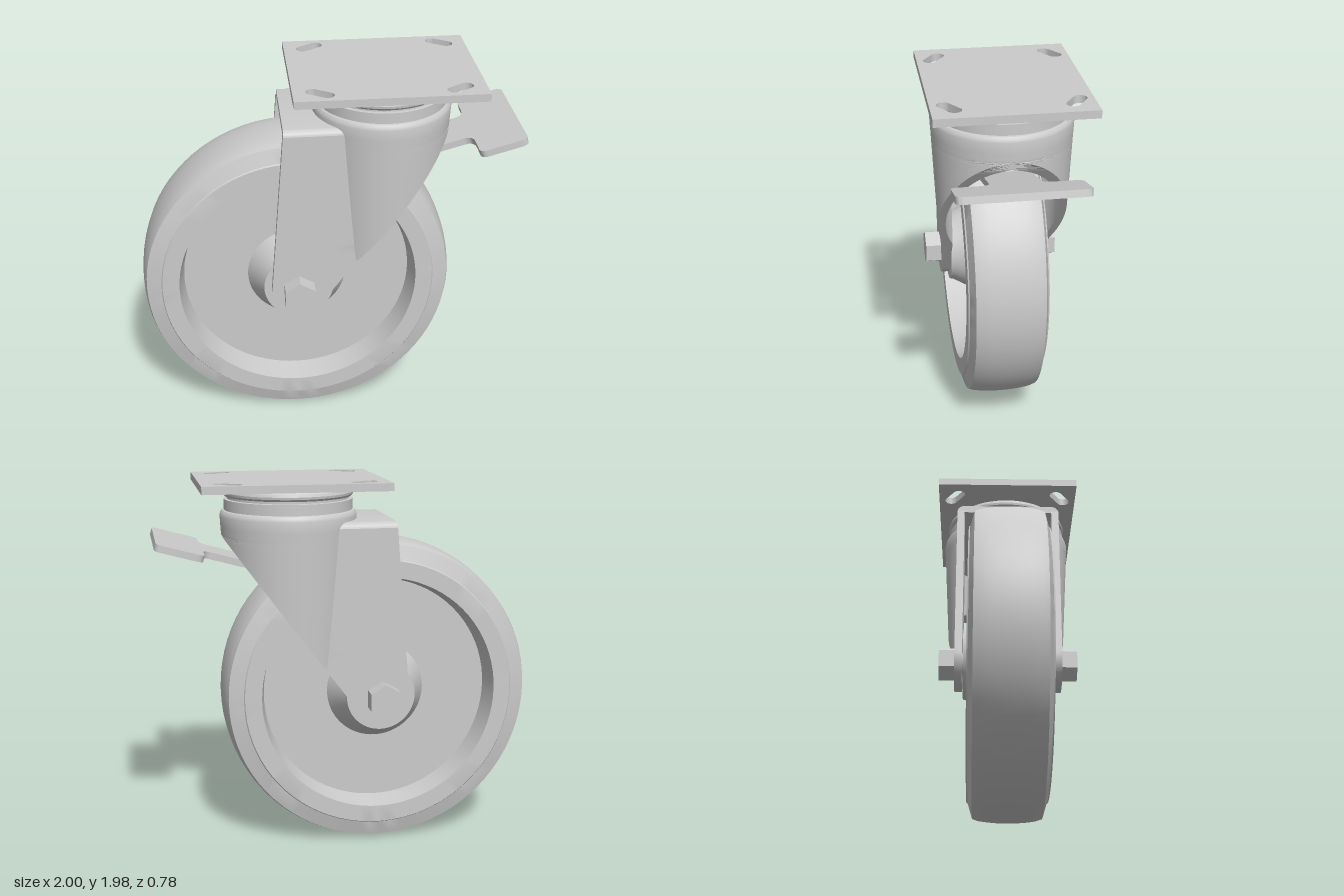
import * as THREE from 'three';
import { toCreasedNormals } from 'three/addons/utils/BufferGeometryUtils.js';

const material = new THREE.MeshStandardMaterial({ color: 0xcccccc });
const AXLE = { x: -0.17, y: 0.835 }; // wheel centre
const CX = 0.285; // swivel axis
const LEG_R = 0.145, LEG_Z = 0.28, WALL = 0.04;

function add(parent, name, geometry, x = 0, y = 0, z = 0) {
  const mesh = new THREE.Mesh(geometry, material);
  mesh.name = name;
  mesh.position.set(x, y, z);
  parent.add(mesh);
  return mesh;
}

function lathe(points, segments = 64) {
  const profile = points.map(([r, y]) => new THREE.Vector2(r, y));
  return toCreasedNormals(new THREE.LatheGeometry(profile, segments), 0.45);
}

// Fork outline in the side view: rear edge, sloping front edge, cone radius
const bulge = (y) => Math.sqrt(Math.max(0, LEG_R ** 2 - (y - AXLE.y) ** 2));
const rearX = (y) => (y < AXLE.y ? AXLE.x - bulge(y) : -0.315 + (y - AXLE.y) * 0.08);
const frontX = (y) => (y < 0.749 ? AXLE.x + bulge(y) : -0.053 + (y - 0.749) / 1.35);
const coneR = (y) => Math.max(0.31, 0.33 + (y - 1.2) * 0.05);

// One wall line at height y: flat leg, then an arc around the swivel axis
function wallLine(y, inset) {
  const r = coneR(y) - inset, z = LEG_Z - inset, line = [];
  const a0 = Math.asin(z / r);
  const aCut = Math.acos(THREE.MathUtils.clamp((CX - frontX(y)) / r, -1, 1));
  const a1 = Math.max(a0, aCut);
  const flatEnd = Math.min(CX - r * Math.cos(a0), frontX(y));
  for (let i = 0; i <= 4; i++) line.push([THREE.MathUtils.lerp(rearX(y), flatEnd, i / 4), z]);
  for (let i = 1; i <= 28; i++) {
    const a = THREE.MathUtils.lerp(a0, a1, i / 28);
    line.push(a1 > a0 ? [CX - r * Math.cos(a), r * Math.sin(a)] : [flatEnd, z]);
  }
  return line;
}

// Half of the fork, lofted upward from closed wall sections
function forkHalf(side) {
  const heights = [];
  for (let i = 0; i <= 14; i++) heights.push(AXLE.y - LEG_R * Math.cos((i / 14) * Math.PI / 2));
  for (let i = 1; i <= 28; i++) heights.push(AXLE.y + (1.5 - AXLE.y) * i / 28);
  for (let i = 1; i <= 24; i++) heights.push(1.5 + 0.24 * i / 24);
  const positions = [], index = [];
  let n = 0;
  for (const y of heights) {
    const loop = [...wallLine(y, 0), ...wallLine(y, WALL).reverse()];
    n = loop.length;
    for (const [x, z] of loop) positions.push(x, y, z * side);
  }
  for (let i = 0; i < heights.length - 1; i++) {
    for (let j = 0; j < n; j++) {
      const k = (j + 1) % n;
      const a = i * n + j, b = i * n + k, c = b + n, d = a + n;
      if (side > 0) index.push(a, b, c, a, c, d);
      else index.push(a, c, b, a, d, c);
    }
  }
  const g = new THREE.BufferGeometry();
  g.setAttribute('position', new THREE.Float32BufferAttribute(positions, 3));
  g.setIndex(index);
  return toCreasedNormals(g, 0.5);
}

function forkTop() {
  const w = LEG_Z, r = 0.038, s = new THREE.Shape();
  s.moveTo(-w, 0);
  s.lineTo(w, 0);
  s.absarc(w - r, WALL - r, r, 0, Math.PI / 2, false);
  s.absarc(-w + r, WALL - r, r, Math.PI / 2, Math.PI, false);
  const g = new THREE.ExtrudeGeometry(s, { depth: 0.34, bevelEnabled: false, curveSegments: 6 });
  return toCreasedNormals(g.rotateY(Math.PI / 2), 0.5);
}

function mountingPlate() {
  const s = new THREE.Shape();
  s.moveTo(-0.48, -0.39);
  s.lineTo(0.48, -0.39);
  s.lineTo(0.48, 0.39);
  s.lineTo(-0.48, 0.39);
  s.closePath();
  // slanted bolt slots, one per corner
  for (const sx of [-1, 1]) for (const sz of [-1, 1]) {
    const x = sx * 0.345, z = sz * 0.3;
    const a = Math.atan2(-sz * 0.025, sx * 0.038);
    const dx = Math.cos(a) * 0.042, dz = Math.sin(a) * 0.042;
    const slot = new THREE.Path();
    slot.absarc(x + dx, z + dz, 0.034, a - Math.PI / 2, a + Math.PI / 2, false);
    slot.absarc(x - dx, z - dz, 0.034, a + Math.PI / 2, a + Math.PI * 1.5, false);
    slot.closePath();
    s.holes.push(slot);
  }
  const g = new THREE.ExtrudeGeometry(s, { depth: 0.04, bevelEnabled: false, curveSegments: 10 });
  return toCreasedNormals(g.rotateX(Math.PI / 2), 0.5);
}

function brakePedal() {
  const s = new THREE.Shape();
  s.moveTo(-0.62, -0.125);
  s.lineTo(-0.3, -0.125);
  s.quadraticCurveTo(-0.25, -0.125, -0.25, -0.19);
  s.lineTo(-0.25, -0.28);
  s.quadraticCurveTo(-0.25, -0.315, -0.21, -0.315);
  s.lineTo(-0.04, -0.315);
  s.quadraticCurveTo(0, -0.315, 0, -0.275);
  s.lineTo(0, 0.275);
  s.quadraticCurveTo(0, 0.315, -0.04, 0.315);
  s.lineTo(-0.21, 0.315);
  s.quadraticCurveTo(-0.25, 0.315, -0.25, 0.28);
  s.lineTo(-0.25, 0.19);
  s.quadraticCurveTo(-0.25, 0.125, -0.3, 0.125);
  s.lineTo(-0.62, 0.125);
  const g = new THREE.ExtrudeGeometry(s, { depth: 0.036, bevelEnabled: false, curveSegments: 8 });
  return toCreasedNormals(g.rotateX(Math.PI / 2).rotateZ(0.27), 0.5);
}

export function createModel() {
  const model = new THREE.Group();
  model.name = 'swivelCaster';

  // Wheel: crowned tread, dished sides and conical hub
  const half = [[0, 0.235], [0.185, 0.235], [0.19, 0.215], [0.265, 0.08], [0.61, 0.08], [0.635, 0.21],
    [0.725, 0.21], [0.73, 0.203], [0.808, 0.18], [0.818, 0.15], [0.825, 0.1], [0.829, 0.05]];
  const profile = [...half.map(([r, z]) => [r, -z]), [0.83, 0], ...half.slice().reverse()];
  add(model, 'wheel', lathe(profile, 80).rotateX(Math.PI / 2), AXLE.x, AXLE.y);

  // Axle with a hex head on each side
  add(model, 'axle', new THREE.CylinderGeometry(0.06, 0.06, 0.56, 24).rotateX(Math.PI / 2), AXLE.x, AXLE.y);
  for (const side of [1, -1]) {
    const hex = new THREE.CylinderGeometry(0.092, 0.092, 0.085, 6).toNonIndexed();
    hex.computeVertexNormals();
    add(model, side > 0 ? 'frontBolt' : 'backBolt', hex.rotateX(Math.PI / 2), AXLE.x, AXLE.y, side * 0.32);
  }

  // Fork
  const fork = new THREE.Group();
  fork.name = 'fork';
  model.add(fork);
  add(fork, 'frontLeg', forkHalf(1));
  add(fork, 'backLeg', forkHalf(-1));
  add(fork, 'forkBridge', forkTop(), -0.241, 1.73);
  add(fork, 'swivelHousing', lathe([[0, 1.73], [0.357, 1.73], [0.36, 1.79], [0.356, 1.805],
    [0.347, 1.816], [0.335, 1.82], [0, 1.82]]), CX);

  // Swivel bearing and mounting plate
  add(model, 'swivelBearing', lathe([[0, 1.81], [0.337, 1.81], [0.337, 1.875], [0.32, 1.877], [0.32, 1.888],
    [0.332, 1.89], [0.34, 1.9], [0.342, 1.912], [0.337, 1.926], [0.325, 1.937], [0.31, 1.941], [0, 1.941]]), CX);
  add(model, 'mountingPlate', mountingPlate(), CX, 1.98);

  add(model, 'brakePedal', brakePedal(), 0.99, 1.695);
  return model;
}
